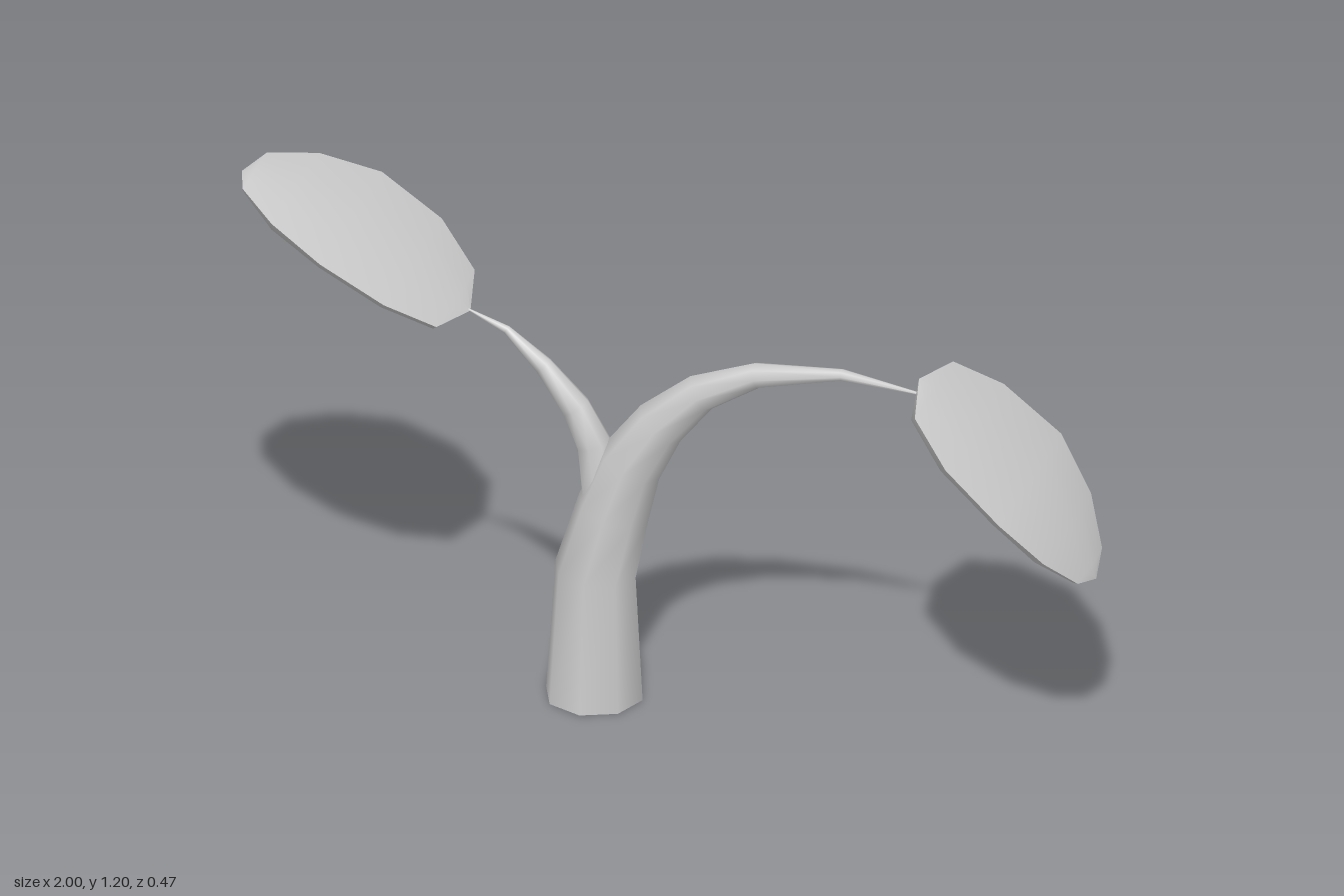
import * as THREE from 'three';
import { mergeGeometries } from 'three/addons/utils/BufferGeometryUtils.js';

const material = new THREE.MeshStandardMaterial({ color: 0xcccccc, side: THREE.DoubleSide });

// Smooth surface through rows of points; faces look along (row direction) x (column direction).
function skin(rows, closed = false) {
  const n = rows[0].length;
  const index = [];
  for (let i = 0; i < rows.length - 1; i++) {
    for (let j = 0; j < (closed ? n : n - 1); j++) {
      const a = i * n + j, b = i * n + (j + 1) % n;
      index.push(a, a + n, b, b, a + n, b + n);
    }
  }
  const geometry = new THREE.BufferGeometry().setFromPoints(rows.flat());
  geometry.setIndex(index);
  geometry.computeVertexNormals();
  // Weld the normals of coincident rim-free tips by leaving them as computed.
  return geometry;
}

// Direction of a path in the xy plane at point i.
function tangentAt(path, i) {
  const [ax, ay] = path[Math.max(i - 1, 0)];
  const [bx, by] = path[Math.min(i + 1, path.length - 1)];
  return new THREE.Vector2(bx - ax, by - ay).normalize();
}

function addMesh(group, name, geometry) {
  const mesh = new THREE.Mesh(geometry, material);
  mesh.name = name;
  group.add(mesh);
}

// Eight-sided tapering stalk along [x, y, radius] points, with a flat base.
function stalk(path, sides = 8) {
  const rings = path.map(([x, y, r], i) => {
    const t = i === 0 && y === 0 ? new THREE.Vector2(0, 1) : tangentAt(path, i);
    return Array.from({ length: sides }, (_, j) => {
      const a = (j / sides) * Math.PI * 2;
      const c = r * Math.cos(a);
      return new THREE.Vector3(x + t.y * c, y - t.x * c, r * Math.sin(a));
    });
  });
  const centre = rings[0].map(() => new THREE.Vector3(path[0][0], path[0][1], 0));
  return mergeGeometries([skin(rings, true), skin([centre, rings[0]], true)]);
}

// Thick leaf: shallow crown on top, bevelled belly below, along [x, y] points.
const halfWidths = [0, 0.145, 0.22, 0.235, 0.18, 0.092, 0];
const depths = [0, 0.036, 0.05, 0.052, 0.047, 0.025, 0];
function leaf(path, side) {
  const section = (i, profile) => {
    const [x, y] = path[i];
    const t = tangentAt(path, i);
    return profile.map(([across, up]) => new THREE.Vector3(
      x - t.y * side * up * depths[i],
      y + t.x * side * up * depths[i],
      across * side * halfWidths[i]));
  };
  const top = [[1, 0], [0.5, 0.18], [0, 0.24], [-0.5, 0.18], [-1, 0]];
  const belly = [[-1, 0], [-0.72, -0.95], [0, -1.08], [0.72, -0.95], [1, 0]];
  return mergeGeometries([top, belly].map((p) => skin(path.map((_, i) => section(i, p)))));
}

export function createModel() {
  const group = new THREE.Group();
  group.name = 'sprout';

  // Main stem arching over to the left leaf
  addMesh(group, 'stem', stalk([
    [-0.175, 0, 0.113], [-0.172, 0.315, 0.094], [-0.13, 0.475, 0.084], [-0.09, 0.595, 0.074],
    [-0.02, 0.705, 0.06], [0.075, 0.797, 0.045], [0.205, 0.86, 0.03], [0.405, 0.892, 0.014],
    [0.605, 0.87, 0.002],
  ]));

  // Side branch rising to the right leaf
  addMesh(group, 'branch', stalk([
    [-0.16, 0.52, 0.046], [-0.176, 0.63, 0.041], [-0.218, 0.715, 0.034], [-0.294, 0.808, 0.022],
    [-0.38, 0.885, 0.01], [-0.475, 0.925, 0.002],
  ]));

  addMesh(group, 'leftLeaf', leaf([
    [0.585, 0.91], [0.62, 0.887], [0.715, 0.808], [0.845, 0.695], [0.932, 0.585],
    [0.985, 0.5], [1, 0.47],
  ], 1));

  addMesh(group, 'rightLeaf', leaf([
    [-0.465, 0.92], [-0.5, 0.945], [-0.6, 1.022], [-0.745, 1.11], [-0.875, 1.165],
    [-0.97, 1.195], [-1, 1.19],
  ], -1));

  return group;
}
